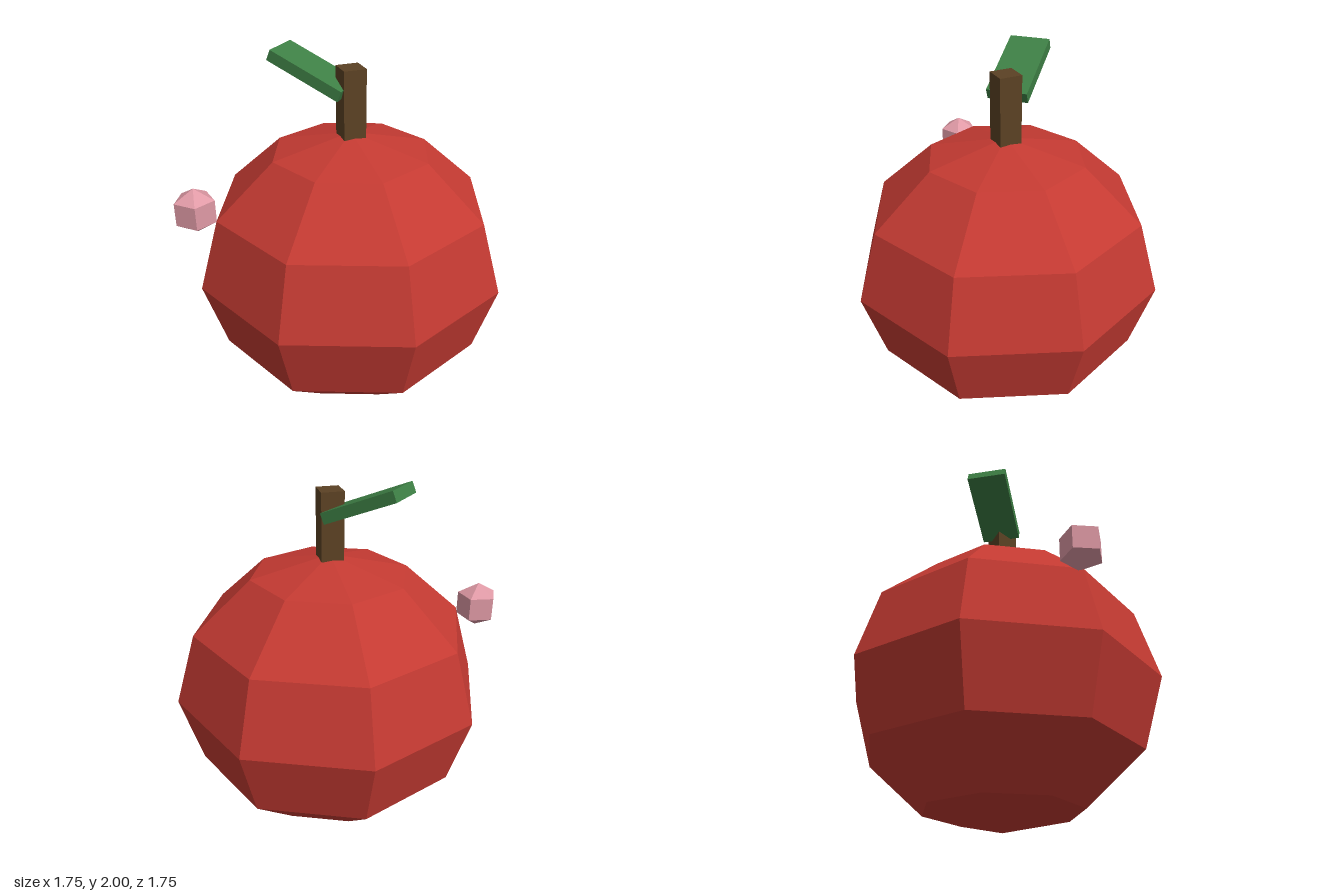
import * as THREE from 'three';

const flat = (name, color) => {
  const m = new THREE.MeshStandardMaterial({ color, flatShading: true });
  m.name = name;
  return m;
};

export function createModel() {
  const group = new THREE.Group();
  group.name = 'apple';

  const red = flat('red skin', 0xc43a32);
  const brown = flat('brown bark', 0x5c4224);
  const green = flat('leaf green', 0x3e8045);
  const pink = flat('soft pink', 0xe09aa6);

  const add = (name, geometry, material, x, y, z) => {
    const mesh = new THREE.Mesh(geometry, material);
    mesh.name = name;
    mesh.position.set(x, y, z);
    group.add(mesh);
    return mesh;
  };

  // Slightly squashed low-poly fruit
  const body = add('fruitBody', new THREE.SphereGeometry(0.875, 8, 6), red, 0, 0.79, 0);
  body.scale.y = 0.79 / 0.875;

  // Four-sided stem with its corners on the axes, sunk into the fruit
  add('stem', new THREE.CylinderGeometry(0.087, 0.087, 0.43, 4), brown, 0, 1.715, 0);

  // Flat leaf rising away from the stem
  const leaf = add('leaf', new THREE.BoxGeometry(0.435, 0.06, 0.22), green, -0.2175, 1.8875, 0);
  leaf.rotation.z = -0.4;

  // Small five-sided bead on the front right shoulder
  const bead = add('bead', new THREE.SphereGeometry(0.127, 5, 3), pink, -0.655, 1.232, 0.545);
  bead.rotation.y = -Math.PI / 2;

  return group;
}
